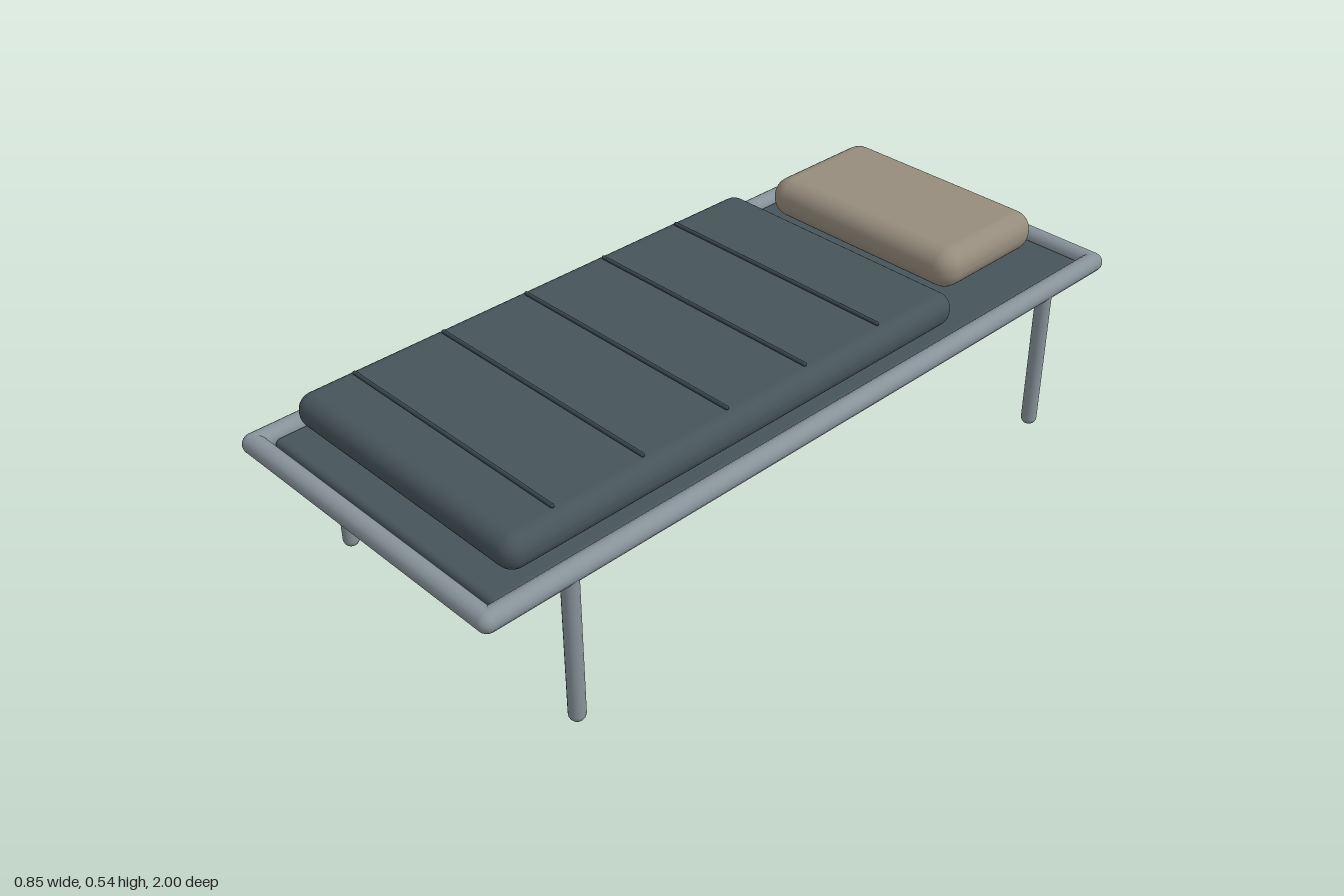
import * as THREE from 'three';
import { RoundedBoxGeometry } from 'three/addons/geometries/RoundedBoxGeometry.js';

const metal = new THREE.MeshStandardMaterial({ name: 'grey metal', color: 0x87939a });
const cloth = new THREE.MeshStandardMaterial({ name: 'dark canvas', color: 0x46545a });
const seamCloth = new THREE.MeshStandardMaterial({ name: 'dark seam', color: 0x36444a });
const linen = new THREE.MeshStandardMaterial({ name: 'beige linen', color: 0x968c7d });

export function createModel() {
  const cot = new THREE.Group();
  cot.name = 'cot';

  const add = (name, geometry, material, x, y, z) => {
    const mesh = new THREE.Mesh(geometry, material);
    mesh.name = name;
    mesh.position.set(x, y, z);
    cot.add(mesh);
    return mesh;
  };
  // Round-ended tube of a given overall length
  const tube = (radius, length) => new THREE.CapsuleGeometry(radius, length - 2 * radius, 6, 16);
  // Soft box given by its size and edge radius
  const soft = (w, h, d, r) => new RoundedBoxGeometry(w, h, d, 4, r);

  // Frame rails and legs
  for (const side of [-1, 1]) {
    add('sideRail', tube(0.025, 2), metal, side * 0.402, 0.395, 0).rotation.x = Math.PI / 2;
    add('endRail', tube(0.025, 0.854), metal, 0, 0.395, side * 0.975).rotation.z = Math.PI / 2;
    for (const end of [-1, 1]) {
      add('leg', tube(0.02, 0.4), metal, side * 0.404, 0.2, end * 0.771);
    }
  }

  // Stretched canvas bed
  add('canvas', soft(0.76, 0.035, 1.89, 0.015), cloth, 0, 0.385, -0.004);

  // Padded blanket with raised seams
  add('blanket', soft(0.74, 0.085, 1.354, 0.04), cloth, 0, 0.459, 0.213);
  for (let i = 0; i < 5; i++) {
    add('seam', tube(0.005, 0.672), seamCloth, 0, 0.507, -0.219 + i * 0.2415).rotation.z = Math.PI / 2;
  }

  // Pillow
  add('pillow', soft(0.6, 0.105, 0.352, 0.05), linen, -0.003, 0.486, -0.693);

  return cot;
}
